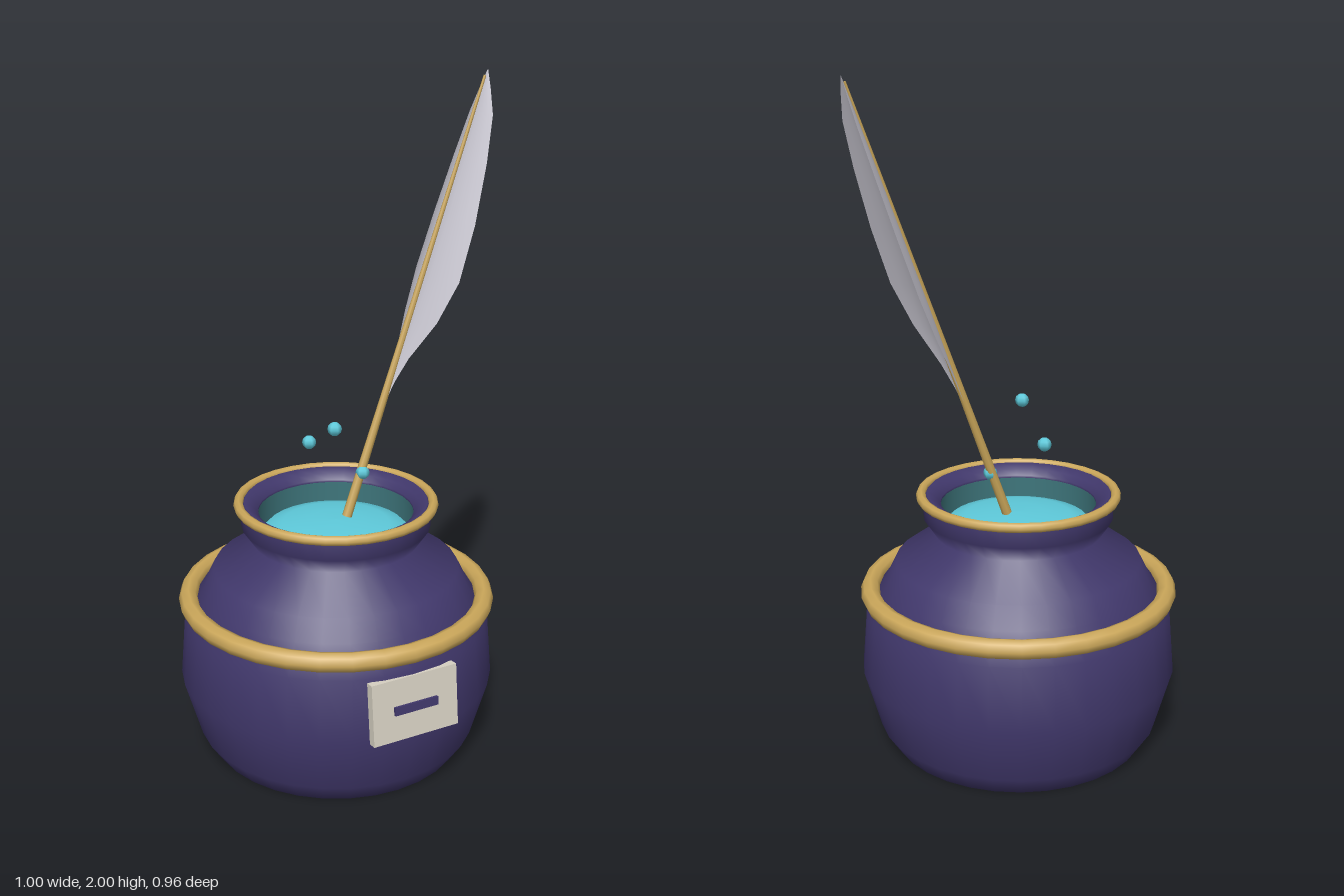
import * as THREE from 'three';

const mat = (name, color, side = THREE.FrontSide) => {
  const m = new THREE.MeshStandardMaterial({ color, side });
  m.name = name;
  return m;
};

export function createModel() {
  const model = new THREE.Group();
  const purple = mat('purple glaze', 0x41386c);
  const gold = mat('gold', 0xcba75a);
  const ink = mat('turquoise ink', 0x5ecadb);
  const inkStain = mat('ink stained wall', 0x3f777d, THREE.DoubleSide);
  const plume = mat('pale plume', 0xc9c7d1, THREE.DoubleSide);
  const ivory = mat('ivory label', 0xd9d3c4);

  const add = (name, geometry, material, parent = model) => {
    const mesh = new THREE.Mesh(geometry, material);
    mesh.name = name;
    parent.add(mesh);
    return mesh;
  };
  const lathe = (pts, segments = 32) =>
    new THREE.LatheGeometry(pts.map(([r, y]) => new THREE.Vector2(r, y)), segments);

  // Pot, turned about its own axis
  const pot = new THREE.Group();
  pot.name = 'inkPot';
  pot.position.set(-0.026, 0, -0.007);
  model.add(pot);
  add('potBody', lathe([
    [0, 0], [0.385, 0], [0.425, 0.06], [0.475, 0.235], [0.459, 0.43], [0.40, 0.51],
    [0.368, 0.575], [0.25, 0.66], [0.283, 0.71], [0.283, 0.77],
    [0.272, 0.782], [0.248, 0.768], [0.232, 0.752], [0.232, 0.745],
  ]), purple, pot);

  // Gold rings around the shoulder and the lip
  const ring = (name, radius, tube, y) => {
    const g = new THREE.TorusGeometry(radius, tube, 8, 32).rotateX(Math.PI / 2);
    add(name, g, gold, pot).position.y = y;
  };
  ring('shoulderRing', 0.447, 0.029, 0.48);
  ring('lipRing', 0.29, 0.015, 0.775);

  // Ink, slightly domed, and the wall above it
  add('inkSurface', lathe([[0.236, 0.665], [0.21, 0.692], [0.16, 0.707], [0.08, 0.716], [0, 0.718]]), ink, pot);
  add('innerWall', new THREE.CylinderGeometry(0.233, 0.236, 0.09, 32, 1, true), inkStain, pot)
    .position.y = 0.707;

  // Label plate with a dark bar, leaning with the pot wall
  const label = new THREE.Group();
  label.name = 'label';
  label.position.set(-0.027, 0.328, 0.455);
  label.rotation.x = -0.1;
  model.add(label);
  add('labelPlate', new THREE.BoxGeometry(0.275, 0.185, 0.026), ivory, label);
  add('labelBar', new THREE.BoxGeometry(0.14, 0.025, 0.009), purple, label).position.z = 0.0165;

  // Quill: everything follows one slanted line
  const quill = new THREE.Group();
  quill.name = 'quill';
  model.add(quill);
  const base = new THREE.Vector3(0.012, 0.72, -0.008);
  const tip = new THREE.Vector3(0.49, 2, -0.048);
  const spine = (y) => base.clone().lerp(tip, (y - base.y) / (tip.y - base.y));
  const shaftTop = spine(1.985);
  const along = shaftTop.clone().sub(base);
  const shaft = add('shaft', new THREE.CylinderGeometry(0.004, 0.015, along.length(), 8), gold, quill);
  shaft.position.copy(base).add(shaftTop).multiplyScalar(0.5);
  shaft.quaternion.setFromUnitVectors(new THREE.Vector3(0, 1, 0), along.normalize());

  // Vane: rows of [height, half width], drooping away from the shaft at both edges
  const rows = [[1.06, 0.006], [1.12, 0.016], [1.19, 0.037], [1.3, 0.09], [1.42, 0.119],
    [1.58, 0.112], [1.75, 0.088], [1.88, 0.06], [1.95, 0.028], [2, 0.002]];
  const cols = 8;
  const verts = [];
  const index = [];
  rows.forEach(([y, w], i) => {
    const c = spine(y);
    for (let j = 0; j <= cols; j++) {
      const s = (j / cols) * 2 - 1;
      verts.push(c.x + 0.003 + 0.42 * w * Math.pow(Math.abs(s), 1.6), y, c.z + s * w);
      if (i && j) {
        const d = i * (cols + 1) + j;
        const b = d - cols - 1;
        index.push(b - 1, b, d - 1, b, d, d - 1);
      }
    }
  });
  const vane = new THREE.BufferGeometry();
  vane.setAttribute('position', new THREE.Float32BufferAttribute(verts, 3));
  vane.setIndex(index);
  vane.computeVertexNormals();
  add('vane', vane, plume, quill);

  // Floating ink drops
  const drop = new THREE.SphereGeometry(0.021, 6, 6).rotateY(Math.PI / 6);
  [[-0.073, 1.037, 0.074], [-0.073, 0.945, -0.087], [0.064, 0.851, -0.006]].forEach((p, i) =>
    add('inkDrop' + (i + 1), drop, ink).position.set(...p));

  return model;
}
